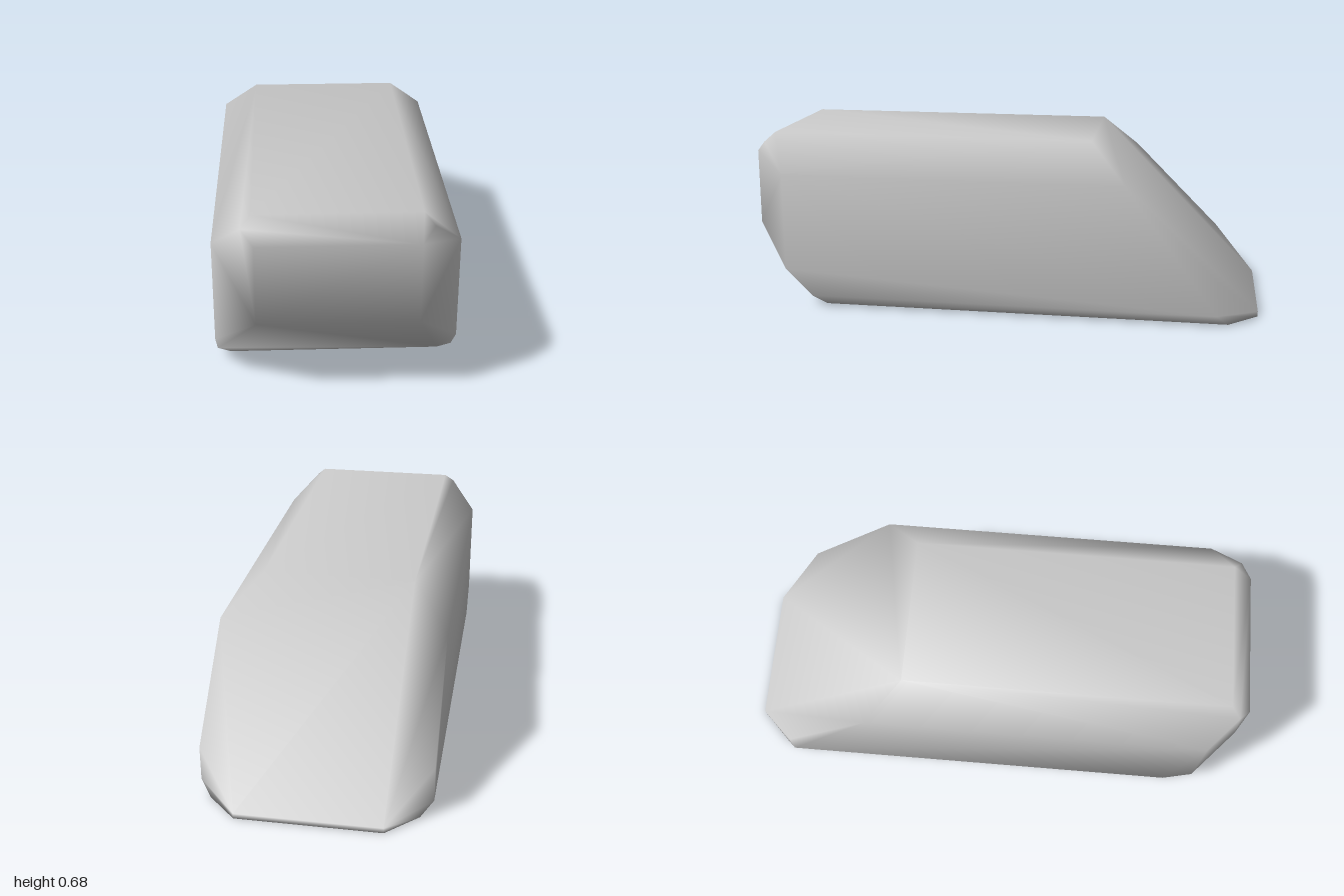
import * as THREE from 'three';
import { ConvexGeometry } from 'three/addons/geometries/ConvexGeometry.js';
import { mergeVertices } from 'three/addons/utils/BufferGeometryUtils.js';

// Corner points of the left (+x) half; the right half is mirrored.
const CORNERS = [
  // top face
  [0.29, 0.675, 0.92], [0.29, 0.675, -0.345],
  // front face and its bevel corner
  [0.28, 0.595, 1], [0.28, 0.3, 1], [0.325, 0.64, 0.955],
  // side face
  [0.43, 0.535, 0.85], [0.43, 0.15, 0.85], [0.43, 0.045, 0.745],
  [0.43, 0.045, -0.84], [0.43, 0.18, -0.84], [0.43, 0.535, -0.485],
  // bottom face
  [0.385, 0, 0.7], [0.385, 0, -0.885], [0.27, 0, -1],
  // thin lip below the rear slope
  [0.27, 0.02, -1],
];

export function createModel() {
  const group = new THREE.Group();
  group.name = 'chamferedBlock';

  const points = CORNERS.flatMap(([x, y, z]) => [
    new THREE.Vector3(x, y, z),
    new THREE.Vector3(-x, y, z),
  ]);

  // Shared corners give the soft shading that runs across the bevels.
  const hull = new ConvexGeometry(points);
  hull.deleteAttribute('normal');
  const geometry = mergeVertices(hull, 1e-4);
  geometry.computeVertexNormals();

  const body = new THREE.Mesh(geometry, new THREE.MeshStandardMaterial({ color: 0xcccccc }));
  body.name = 'body';
  group.add(body);
  return group;
}
